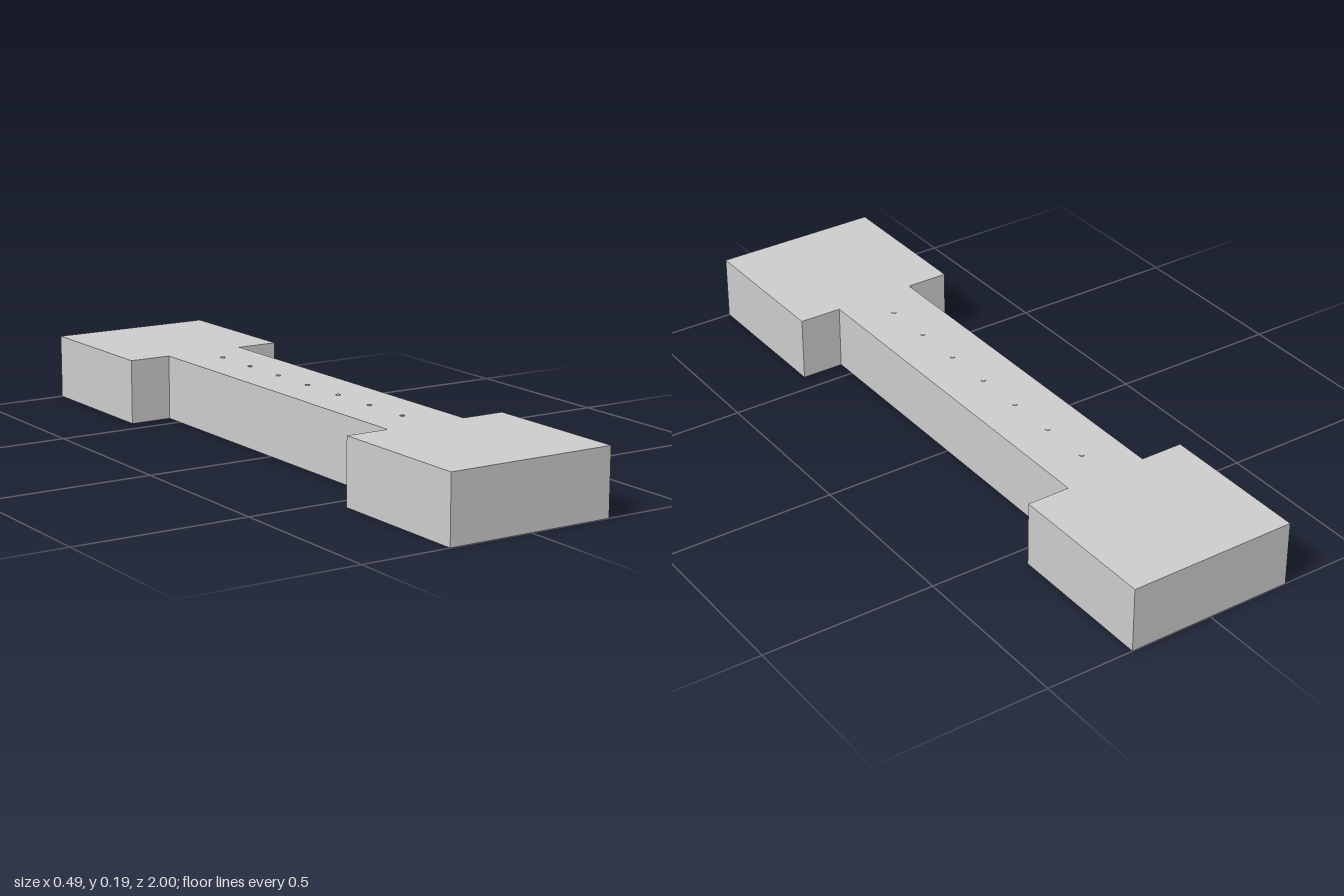
import * as THREE from 'three';

export function createModel() {
  const group = new THREE.Group();
  const material = new THREE.MeshStandardMaterial({ color: 0xcccccc, flatShading: true });
  const height = 0.187, padHalf = 0.245, barHalf = 0.12, step = 0.558;

  // Dumbbell-shaped slab: narrow bar with a wide block at each end
  const outline = [
    [-padHalf, -1], [padHalf, -1], [padHalf, -step], [barHalf, -step],
    [barHalf, step], [padHalf, step], [padHalf, 1], [-padHalf, 1],
    [-padHalf, step], [-barHalf, step], [-barHalf, -step], [-padHalf, -step],
  ].map(([x, z]) => new THREE.Vector2(x, z));
  const slab = new THREE.ExtrudeGeometry(new THREE.Shape(outline), { depth: height, bevelEnabled: false });
  slab.rotateX(-Math.PI / 2);
  const body = new THREE.Mesh(slab, material);
  body.name = 'body';
  group.add(body);

  // Row of seven small studs along the bar, barely proud of the top
  const studs = new THREE.Group();
  studs.name = 'studs';
  const studGeometry = new THREE.CylinderGeometry(0.007, 0.007, 0.006, 16);
  for (let i = -3; i <= 3; i++) {
    const stud = new THREE.Mesh(studGeometry, material);
    stud.name = 'stud';
    stud.position.set(0, height - 0.001, i * 0.151);
    studs.add(stud);
  }
  group.add(studs);
  return group;
}
